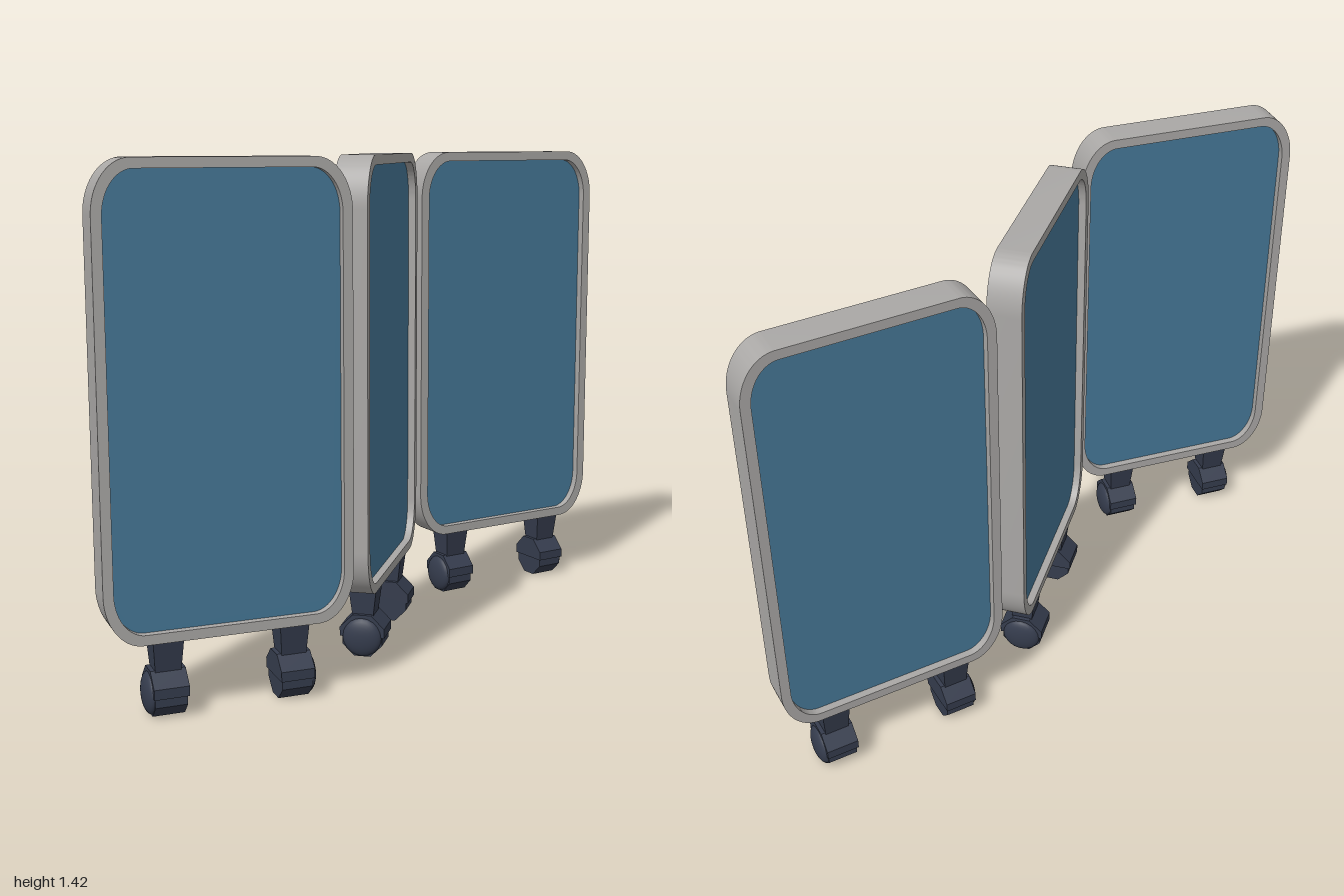
import * as THREE from 'three';
import { toCreasedNormals } from 'three/addons/utils/BufferGeometryUtils.js';

const WIDTH = 0.67, HEIGHT = 1.22, DEPTH = 0.094, BASE = 0.2, RIM = 0.027;

const frameGrey = new THREE.MeshStandardMaterial({ color: 0xaaa8a6 });
frameGrey.name = 'frameGrey';
const boardBlue = new THREE.MeshStandardMaterial({ color: 0x467898 });
boardBlue.name = 'boardBlue';
const casterNavy = new THREE.MeshStandardMaterial({ color: 0x353c4d });
casterNavy.name = 'casterNavy';

function add(parent, name, geometry, material, x = 0, y = 0, z = 0) {
  const mesh = new THREE.Mesh(geometry, material);
  mesh.name = name;
  mesh.position.set(x, y, z);
  parent.add(mesh);
  return mesh;
}

// Rectangle with elliptical corners, as a Shape or a hole Path
function roundedRect(w, h, rx, ry, Type = THREE.Shape) {
  const p = new Type(), a = w / 2 - rx, b = h / 2 - ry, q = Math.PI / 2;
  p.moveTo(w / 2, -b);
  p.absellipse(a, b, rx, ry, 0, q);
  p.absellipse(-a, b, rx, ry, q, 2 * q);
  p.absellipse(-a, -b, rx, ry, 2 * q, 3 * q);
  p.absellipse(a, -b, rx, ry, 3 * q, 4 * q);
  return p;
}

function slab(shape, depth) {
  const g = new THREE.ExtrudeGeometry(shape, { depth, bevelEnabled: false, curveSegments: 12 });
  g.translate(0, 0, -depth / 2);
  return toCreasedNormals(g, 0.5);
}

// Caster rolling along z; its domed side faces +x
function makeCaster() {
  const caster = new THREE.Group();
  caster.name = 'caster';

  // tapered square stem
  const stem = new THREE.BoxGeometry(0.082, 0.1, 0.084);
  const pos = stem.attributes.position;
  for (let i = 0; i < pos.count; i++) {
    if (pos.getY(i) < 0) {
      pos.setX(i, pos.getX(i) * 0.82);
      pos.setZ(i, pos.getZ(i) * 0.7);
    }
  }
  stem.computeVertexNormals();
  add(caster, 'stem', stem, casterNavy, 0, 0.16, 0);

  // eight-sided wheel with a flat at the bottom
  const r = 0.058 / Math.cos(Math.PI / 8);
  const wheel = new THREE.CylinderGeometry(r, r, 0.085, 8);
  wheel.rotateY(Math.PI / 8).rotateZ(Math.PI / 2);
  add(caster, 'wheel', toCreasedNormals(wheel, 0.5), casterNavy, 0, 0.058, 0);

  // smooth hub dome
  const dome = new THREE.SphereGeometry(0.057, 20, 8, 0, Math.PI * 2, 0, Math.PI / 2);
  dome.scale(1, 0.38, 1).rotateZ(-Math.PI / 2);
  add(caster, 'hubDome', dome, casterNavy, 0.0425, 0.058, 0);

  // half-octagon hood over the wheel
  const a = 0.065, b = a * Math.tan(Math.PI / 8);
  const outline = [[-a, 0], [a, 0], [a, b], [b, a], [-b, a], [-a, b]];
  const hood = slab(new THREE.Shape(outline.map(([x, y]) => new THREE.Vector2(x, y))), 0.093);
  hood.rotateY(Math.PI / 2);
  add(caster, 'hood', hood, casterNavy, 0, 0.058, 0);
  return caster;
}

function makePanel(name, x, degrees, spread) {
  const panel = new THREE.Group();
  panel.name = name;
  panel.position.x = x;
  panel.rotation.y = THREE.MathUtils.degToRad(degrees);
  const middle = BASE + HEIGHT / 2;
  const innerW = WIDTH - 2 * RIM, innerH = HEIGHT - 2 * RIM;

  // frame ring and the board recessed on both sides
  const ring = roundedRect(WIDTH, HEIGHT, 0.1, 0.14);
  ring.holes.push(roundedRect(innerW, innerH, 0.08, 0.115, THREE.Path));
  add(panel, 'frame', slab(ring, DEPTH), frameGrey, 0, middle, 0);
  add(panel, 'board', slab(roundedRect(innerW, innerH, 0.08, 0.115), 0.05), boardBlue, 0, middle, 0);

  // casters with their domes facing outwards
  for (const side of [-1, 1]) {
    const caster = makeCaster();
    caster.position.x = side * spread;
    caster.rotation.y = side > 0 ? 0 : Math.PI;
    panel.add(caster);
  }
  return panel;
}

export function createModel() {
  const model = new THREE.Group();
  model.name = 'foldingScreen';
  model.add(
    makePanel('rightPanel', -0.692, -32.5, 0.17),
    makePanel('middlePanel', -0.012, 22.4, 0.167),
    makePanel('leftPanel', 0.669, -22.4, 0.186),
  );
  return model;
}
